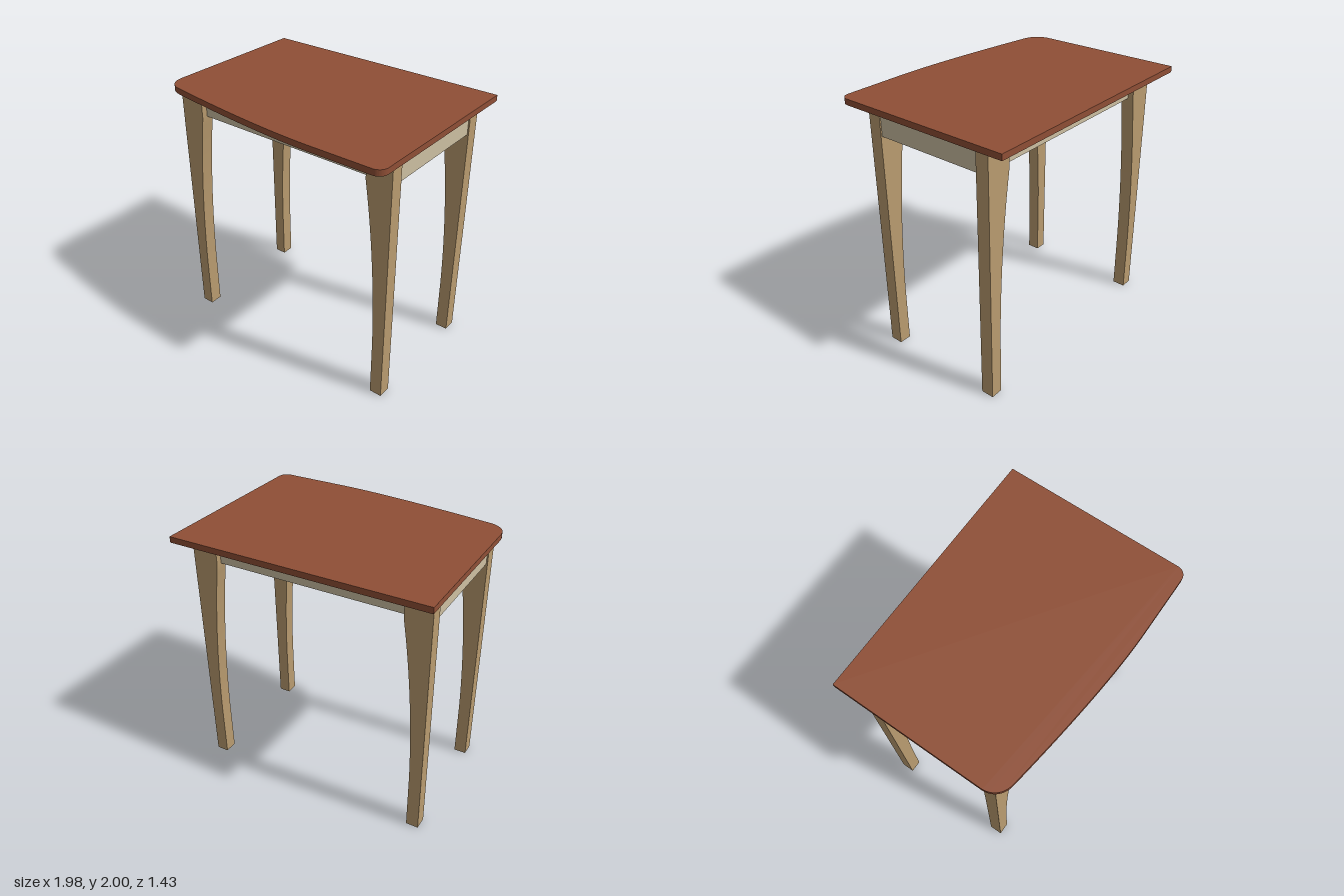
import * as THREE from 'three';
import { toCreasedNormals } from 'three/addons/utils/BufferGeometryUtils.js';

const TOP_Y = 1.955, APRON_Y = 1.77;
const topMat = new THREE.MeshStandardMaterial({ color: 0x8f4f36 });
const legMat = new THREE.MeshStandardMaterial({ color: 0xba9c70 });
const apronMat = new THREE.MeshStandardMaterial({ color: 0xcdbfa2 });

function extrude(shape, depth) {
  const geo = new THREE.ExtrudeGeometry(shape, { depth, bevelEnabled: false, curveSegments: 20 });
  return toCreasedNormals(geo, 0.5);
}

function addMesh(parent, name, geo, mat) {
  const mesh = new THREE.Mesh(geo, mat);
  mesh.name = name;
  parent.add(mesh);
  return mesh;
}

// Tabletop outline, drawn with shape y as model z
function tabletopGeometry() {
  const s = new THREE.Shape();
  s.moveTo(-0.99, -0.715);
  s.lineTo(0.99, -0.715);
  s.lineTo(0.99, 0.645);
  s.absarc(0.92, 0.645, 0.07, 0, Math.PI / 2, false);
  s.lineTo(0.45, 0.715);
  s.quadraticCurveTo(0, 0.715, -0.85, 0.59);
  s.bezierCurveTo(-0.935, 0.58, -0.99, 0.52, -0.99, 0.44);
  s.closePath();
  return extrude(s, 2 - TOP_Y).rotateX(Math.PI / 2);
}

// Leg with straight outer edge and curved inner edge
function legGeometry(side) {
  const s = new THREE.Shape();
  s.moveTo(side * 0.93, 0);
  s.lineTo(side * 0.93, TOP_Y);
  s.lineTo(side * 0.73, TOP_Y);
  s.lineTo(side * 0.73, APRON_Y);
  s.quadraticCurveTo(side * 0.828, 1.15, side * 0.835, 0.45);
  s.lineTo(side * 0.835, 0);
  s.closePath();
  return extrude(s, 0.1);
}

function rectPath(path, x0, x1, y0, y1) {
  path.moveTo(x0, y0);
  path.lineTo(x1, y0);
  path.lineTo(x1, y1);
  path.lineTo(x0, y1);
  path.closePath();
  return path;
}

// Apron board: plain outer layer, grooved layer on the inner (+z) face
function apron(name, length, thickness, slots) {
  const group = new THREE.Group();
  group.name = name;
  const groove = 0.02, h = length / 2;
  const outer = rectPath(new THREE.Shape(), -h, h, APRON_Y, TOP_Y);
  const inner = rectPath(new THREE.Shape(), -h, h, APRON_Y, TOP_Y);
  for (const [a, b] of slots) inner.holes.push(rectPath(new THREE.Path(), a, b, 1.905, 1.927));
  addMesh(group, name + 'Board', extrude(outer, thickness - groove), apronMat);
  addMesh(group, name + 'GroovedFace', extrude(inner, groove), apronMat).position.z = thickness - groove;
  return group;
}

export function createModel() {
  const table = new THREE.Group();
  table.name = 'table';

  addMesh(table, 'tabletop', tabletopGeometry(), topMat).position.y = 2;

  // Four legs
  for (const side of [1, -1]) {
    const label = side > 0 ? 'Left' : 'Right';
    addMesh(table, 'front' + label + 'Leg', legGeometry(side), legMat).position.z = 0.4;
    addMesh(table, 'back' + label + 'Leg', legGeometry(side), legMat).position.z = -0.555;
  }

  // Long aprons
  const longSlots = [[-0.7, -0.1], [0.1, 0.7]];
  const front = apron('frontApron', 1.73, 0.06, longSlots);
  front.rotation.y = Math.PI;
  front.position.z = 0.455;
  const back = apron('backApron', 1.73, 0.06, longSlots);
  back.position.z = -0.51;
  table.add(front, back);

  // Side aprons between the legs
  for (const side of [1, -1]) {
    const a = apron(side > 0 ? 'leftApron' : 'rightApron', 0.855, 0.05, [[-0.37, 0.37]]);
    a.rotation.y = -side * Math.PI / 2;
    a.position.set(side * 0.92, 0, -0.0275);
    table.add(a);
  }
  return table;
}
